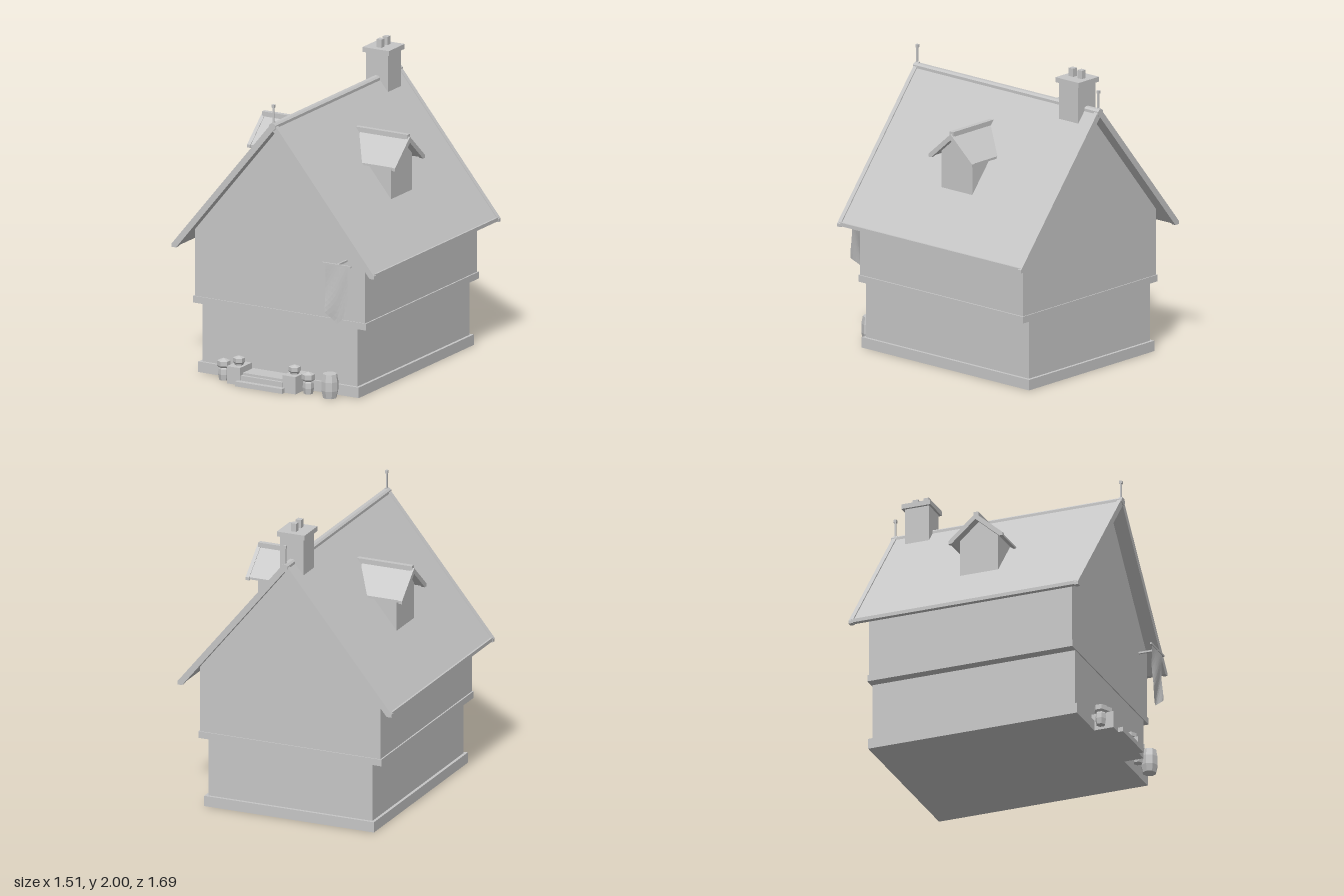
import * as THREE from 'three';

const stone = new THREE.MeshStandardMaterial({ color: 0xc6c6c6, flatShading: true });
stone.name = 'plain grey';
const stoneThin = new THREE.MeshStandardMaterial({ color: 0xc6c6c6, side: THREE.DoubleSide, flatShading: true });
stoneThin.name = 'plain grey cloth';

const CZ = -0.05;      // middle of the house along z
const SLOPE = 1.22;    // rise of the main roof

export function createModel() {
  const house = new THREE.Group();
  house.name = 'house';

  const add = (name, geometry, parent = house, material = stone) => {
    const mesh = new THREE.Mesh(geometry, material);
    mesh.name = name;
    parent.add(mesh);
    return mesh;
  };
  // Box given by its limits
  const box = (name, x0, x1, y0, y1, z0, z1, parent = house) => {
    const mesh = add(name, new THREE.BoxGeometry(x1 - x0, y1 - y0, z1 - z0), parent);
    mesh.position.set((x0 + x1) / 2, (y0 + y1) / 2, (z0 + z1) / 2);
    return mesh;
  };
  // Outline in x and y, extruded from z0 to z1
  const prism = (name, points, z0, z1, parent = house) => {
    const shape = new THREE.Shape(points.map(([x, y]) => new THREE.Vector2(x, y)));
    const geometry = new THREE.ExtrudeGeometry(shape, { depth: z1 - z0, bevelEnabled: false });
    return add(name, geometry.translate(0, 0, z0), parent);
  };
  // Inverted V with its tip at y = top
  const chevron = (top, under, half, slope, foot) => {
    const inner = (under - foot) / slope;
    return [[-half, foot], [-inner, foot], [0, under], [inner, foot], [half, foot],
      [half, top - slope * half], [0, top], [-half, top - slope * half]];
  };

  // Walls
  box('plinth', -0.6, 0.6, 0, 0.07, CZ - 0.725, CZ + 0.725);
  box('lowerWalls', -0.58, 0.58, 0.07, 0.455, CZ - 0.705, CZ + 0.705);
  box('floorBand', -0.647, 0.647, 0.455, 0.5, CZ - 0.712, CZ + 0.712);
  const eave = 1.73 - SLOPE * 0.637;
  prism('upperWalls', [[-0.637, 0.5], [0.637, 0.5], [0.637, eave], [0, 1.73], [-0.637, eave]],
    CZ - 0.705, CZ + 0.705);

  // Main roof with gable boards, eave strips and ridge
  prism('mainRoof', chevron(1.766, 1.72, 0.75, SLOPE, 0.838), -0.83, 0.73);
  for (const [z0, z1] of [[0.718, 0.747], [-0.847, -0.818]]) {
    prism('gableBoards', chevron(1.777, 1.714, 0.757, SLOPE, 0.832), z0, z1);
  }
  for (const s of [-1, 1]) {
    const strip = box('eaveStrip', -0.008, 0.008, 0.838, 0.862, -0.835, 0.735);
    strip.position.x = s * 0.746;
  }
  prism('ridgeBeam', [[-0.024, 1.735], [-0.01, 1.72], [0.01, 1.72], [0.024, 1.735],
    [0.024, 1.755], [0.012, 1.766], [-0.012, 1.766], [-0.024, 1.755]], -0.852, 0.752);

  // Finials at both ends of the ridge
  for (const z of [0.735, -0.832]) {
    box('finialRod', -0.005, 0.005, 1.76, 1.872, z - 0.005, z + 0.005);
    box('finialKnob', -0.009, 0.009, 1.87, 1.89, z - 0.009, z + 0.009);
  }

  // Chimney
  box('chimneyStack', -0.082, 0.082, 1.655, 1.912, -0.732, -0.565);
  box('chimneyCap', -0.098, 0.098, 1.912, 1.945, -0.75, -0.55);
  for (const z of [-0.687, -0.612]) {
    box('chimneyPot', -0.019, 0.019, 1.945, 2, z - 0.019, z + 0.019);
  }

  // Dormers, built facing +z and turned to each side
  for (const s of [-1, 1]) {
    const dormer = new THREE.Group();
    dormer.name = s > 0 ? 'leftDormer' : 'rightDormer';
    dormer.rotation.y = s * Math.PI / 2;
    dormer.position.z = CZ;
    house.add(dormer);
    prism('dormerWalls', [[-0.133, 1.165], [0.133, 1.165], [0.133, 1.42], [0, 1.535], [-0.133, 1.42]],
      0.22, 0.49, dormer);
    prism('dormerRoof', chevron(1.557, 1.53, 0.182, 0.88, 1.382), 0.19, 0.535, dormer);
    prism('dormerGableBoards', chevron(1.562, 1.522, 0.188, 0.88, 1.376), 0.528, 0.553, dormer);
    box('dormerRidge', -0.016, 0.016, 1.545, 1.577, 0.148, 0.543, dormer);
  }

  // Front steps between two piers
  const SX = -0.05;
  box('lowerStep', SX - 0.175, SX + 0.175, 0, 0.032, 0.65, 0.842);
  box('middleStep', SX - 0.155, SX + 0.155, 0.032, 0.065, 0.65, 0.805);
  box('topStep', SX - 0.15, SX + 0.15, 0.065, 0.08, 0.65, 0.785);
  for (const s of [-1, 1]) {
    const x = SX + s * 0.208;
    box('stepPier', x - 0.048, x + 0.048, 0, 0.115, 0.65, 0.808);
    const orb = add('pierFinial', new THREE.LatheGeometry([[0, 0], [0.028, 0], [0.032, 0.012],
      [0.04, 0.02], [0.04, 0.048], [0, 0.062]].map(p => new THREE.Vector2(...p)), 6));
    orb.position.set(x, 0.115, 0.737);
  }

  // Potted shrubs beside the steps
  for (const x of [-0.367, 0.265]) {
    const pot = add('plantPot', new THREE.LatheGeometry([[0, 0], [0.03, 0], [0.037, 0.04], [0.034, 0.075],
      [0.028, 0.088], [0, 0.088]].map(p => new THREE.Vector2(...p)), 6));
    pot.position.set(x, 0, 0.745);
    const shrub = add('shrub', new THREE.LatheGeometry([[0, 0], [0.032, 0], [0.044, 0.012],
      [0.044, 0.045], [0, 0.062]].map(p => new THREE.Vector2(...p)), 6));
    shrub.position.set(x, 0.085, 0.745);
  }

  // Barrel
  const barrel = add('barrel', new THREE.LatheGeometry([[0, 0], [0.045, 0], [0.056, 0.05], [0.056, 0.11],
    [0.047, 0.16], [0, 0.16]].map(p => new THREE.Vector2(...p)), 8));
  barrel.position.set(0.432, 0, 0.755);

  // Banner on a crossbar held off the wall
  box('bannerBracket', 0.493, 0.505, 0.893, 0.905, 0.65, 0.787);
  box('bannerBar', 0.39, 0.605, 0.895, 0.907, 0.776, 0.788);
  const cloth = new THREE.PlaneGeometry(0.165, 0.33, 8, 10);
  const p = cloth.attributes.position;
  for (let i = 0; i < p.count; i++) {
    const x = p.getX(i), drop = (0.165 - p.getY(i)) / 0.33;
    // Lower edge comes to a point; ripples grow downwards
    p.setY(i, 0.9 - drop * (0.395 - 0.07 * Math.abs(x) / 0.0825));
    p.setZ(i, 0.782 + 0.011 * drop * Math.sin(x * 38 + drop * 5));
  }
  cloth.computeVertexNormals();
  add('banner', cloth, house, stoneThin).position.x = 0.497;

  return house;
}
